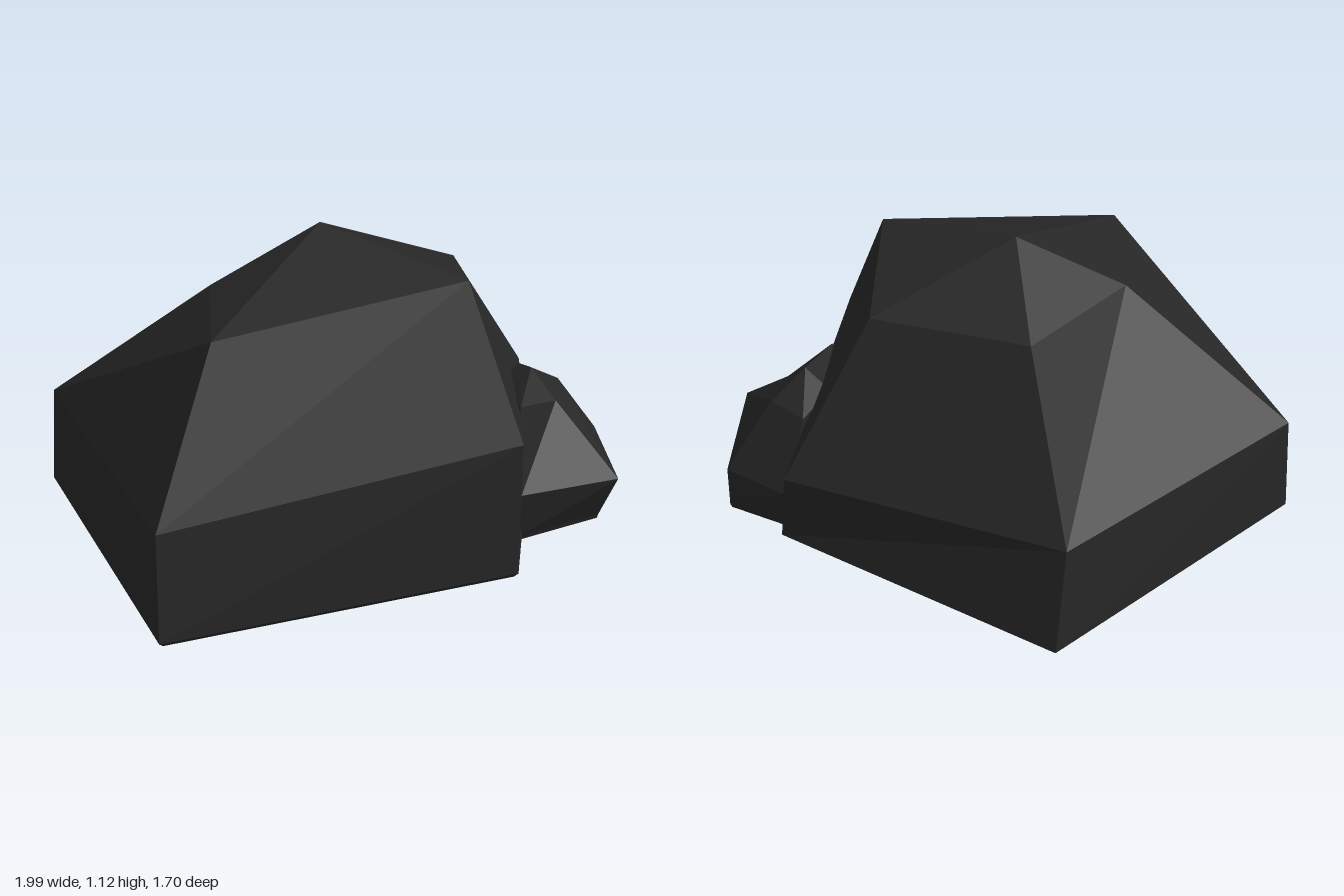
import * as THREE from 'three';

// Faceted boulder: five-sided rings from bottom to top, closed by an apex.
function boulder(rings, apex, material, name) {
  const pos = [];
  const tri = (a, b, c) => pos.push(...a, ...b, ...c);
  // narrow chamfer where the rock meets the ground
  const base = rings[0];
  const n = base.length;
  const cx = base.reduce((s, p) => s + p[0], 0) / n;
  const cz = base.reduce((s, p) => s + p[2], 0) / n;
  const foot = base.map(([x, , z]) => [cx + (x - cx) * 0.98, 0, cz + (z - cz) * 0.98]);
  const all = [foot, ...rings];
  for (let k = 0; k < all.length - 1; k++) {
    const lo = all[k], up = all[k + 1];
    for (let i = 0; i < n; i++) {
      const j = (i + 1) % n;
      tri(lo[i], lo[j], up[j]);
      tri(lo[i], up[j], up[i]);
    }
  }
  const top = all[all.length - 1];
  for (let i = 0; i < n; i++) tri(top[i], top[(i + 1) % n], apex);
  for (let i = 1; i < n - 1; i++) tri(foot[0], foot[i + 1], foot[i]);
  const geo = new THREE.BufferGeometry();
  geo.setAttribute('position', new THREE.Float32BufferAttribute(pos, 3));
  geo.computeVertexNormals();
  const mesh = new THREE.Mesh(geo, material);
  mesh.name = name;
  return mesh;
}

export function createModel() {
  const group = new THREE.Group();
  group.name = 'rocks';
  const stone = new THREE.MeshStandardMaterial({ color: 0x262626 });
  stone.name = 'dark stone';

  // large rock
  group.add(boulder([
    [[-1, 0.02, 0.5], [0.23, 0.02, 0.85], [0.89, 0.02, 0.17], [0.33, 0.02, -0.85], [-0.83, 0.02, -0.68]],
    [[-0.96, 0.39, 0.44], [0.26, 0.5, 0.8], [0.89, 0.37, 0.07], [0.25, 0.4, -0.78], [-0.81, 0.41, -0.65]],
    [[-0.62, 0.9, 0.24], [0.23, 1.01, 0.51], [0.5, 0.91, 0.1], [0.12, 0.92, -0.34], [-0.38, 0.9, -0.18]],
  ], [-0.03, 1.12, 0], stone, 'largeRock'));

  // small rock leaning against it
  group.add(boulder([
    [[0.4, 0.02, 0.67], [0.74, 0.02, 0.72], [0.99, 0.02, 0.43], [0.85, 0.02, 0.22], [0.5, 0.02, 0.28]],
    [[0.38, 0.2, 0.68], [0.74, 0.21, 0.8], [0.98, 0.19, 0.43], [0.86, 0.2, 0.18], [0.5, 0.2, 0.25]],
    [[0.45, 0.49, 0.57], [0.66, 0.44, 0.53], [0.78, 0.45, 0.41], [0.73, 0.46, 0.24], [0.58, 0.48, 0.32]],
  ], [0.63, 0.54, 0.42], stone, 'smallRock'));
  return group;
}
